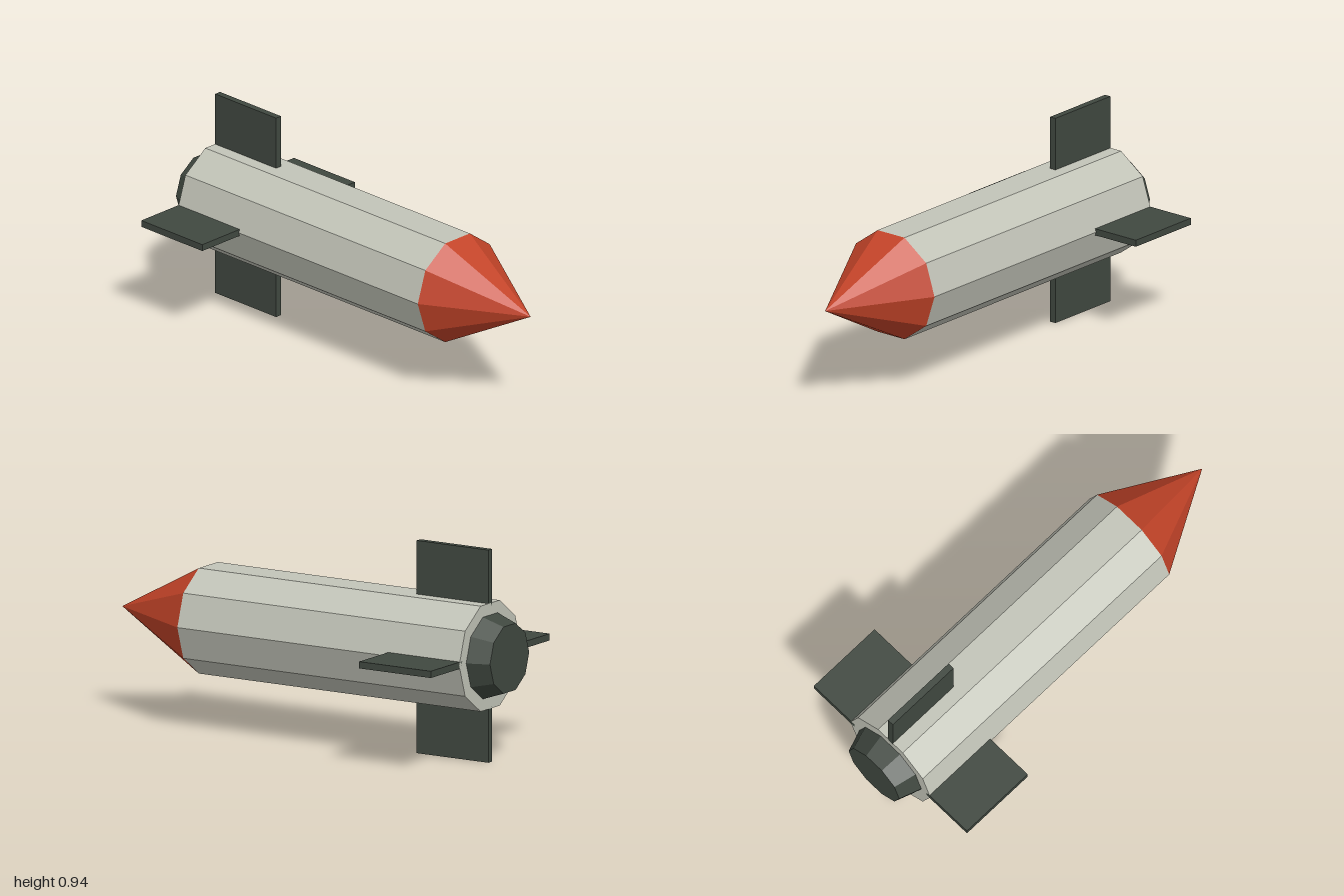
import * as THREE from 'three';

const SIDES = 10;
const AXIS_Y = 0.47;

function flat(name, color) {
  const m = new THREE.MeshStandardMaterial({ color, flatShading: true });
  m.name = name;
  return m;
}

export function createModel() {
  const hull = flat('hullGrey', 0xc2c4b8);
  const red = flat('noseRed', 0xc24328);
  const dark = flat('darkGreenGrey', 0x404840);

  const rocket = new THREE.Group();
  rocket.name = 'rocket';

  // Ten-sided section along z, with corners at left and right
  function section(name, frontRadius, backRadius, frontZ, backZ, material) {
    const geometry = new THREE.CylinderGeometry(
      frontRadius, backRadius, frontZ - backZ, SIDES, 1, false, Math.PI / 2);
    geometry.rotateX(Math.PI / 2);
    const mesh = new THREE.Mesh(geometry, material);
    mesh.name = name;
    mesh.position.set(0, AXIS_Y, (frontZ + backZ) / 2);
    rocket.add(mesh);
  }

  section('noseCone', 0, 0.245, 1, 0.556, red);
  section('body', 0.245, 0.245, 0.556, -0.9, hull);
  section('nozzle', 0.19, 0.155, -0.9, -1, dark);

  // Four flat fins, rooted just inside the body
  const inner = 0.22, outer = 0.47;
  const finGeometry = new THREE.BoxGeometry(outer - inner, 0.03, 0.37);
  finGeometry.translate((inner + outer) / 2, 0, -0.715);
  ['leftFin', 'topFin', 'rightFin', 'bottomFin'].forEach((name, i) => {
    const fin = new THREE.Mesh(finGeometry, dark);
    fin.name = name;
    fin.position.y = AXIS_Y;
    fin.rotation.z = i * Math.PI / 2;
    rocket.add(fin);
  });

  return rocket;
}
